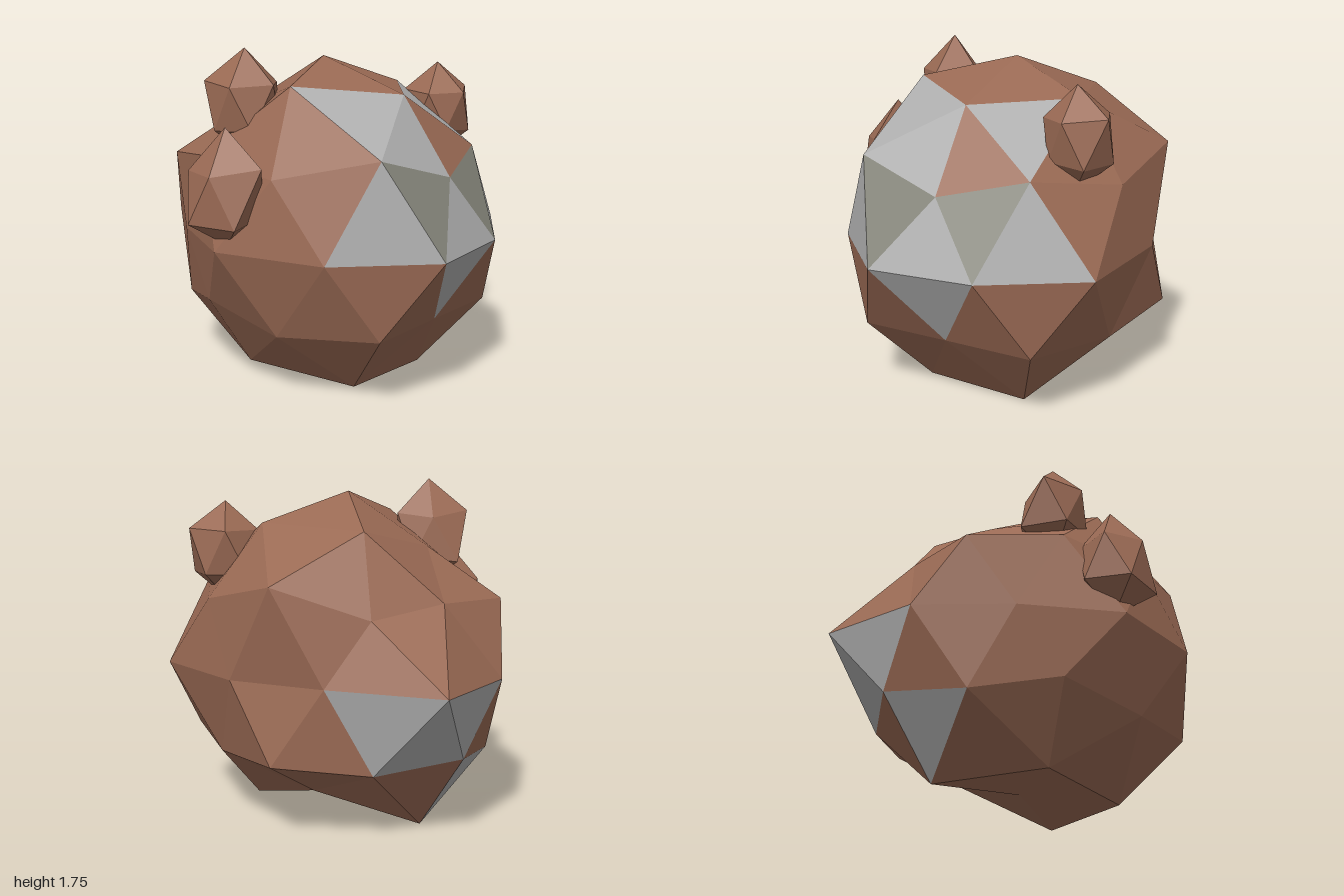
import * as THREE from 'three';

const brown = new THREE.MeshStandardMaterial({ name: 'brown stone', color: 0x9a6a54 });
const grey = new THREE.MeshStandardMaterial({ name: 'grey mineral', color: 0xaeaeae });
const olive = new THREE.MeshStandardMaterial({ name: 'olive grey mineral', color: 0x87877c });

// A ring of points on a lumpy sphere: height = sine of latitude, one radius per point
function addRing(points, letter, height, startDeg, radii, centre, scale) {
  const flat = Math.sqrt(1 - height * height);
  radii.forEach((r, i) => {
    const a = THREE.MathUtils.degToRad(startDeg + (360 / radii.length) * i);
    points[letter + i] = new THREE.Vector3(flat * Math.cos(a), height, flat * Math.sin(a))
      .multiplyScalar(r).multiply(scale).add(centre);
  });
}

// Flat-faced mesh from named corners; every face is turned to point away from the centre
function facetMesh(name, points, faces, centre, material) {
  const pos = [];
  for (const face of faces) {
    const [a, b, c] = face.map((key) => points[key]);
    const n = new THREE.Vector3().subVectors(b, a).cross(new THREE.Vector3().subVectors(c, a));
    const outward = n.dot(new THREE.Vector3().subVectors(a, centre)) > 0;
    for (const p of outward ? [a, b, c] : [a, c, b]) pos.push(p.x, p.y, p.z);
  }
  const geometry = new THREE.BufferGeometry();
  geometry.setAttribute('position', new THREE.Float32BufferAttribute(pos, 3));
  geometry.computeVertexNormals();
  const mesh = new THREE.Mesh(geometry, material);
  mesh.name = name;
  return mesh;
}

// Large boulder: a once-divided icosahedron with uneven radii and mineral patches
function boulder() {
  const centre = new THREE.Vector3(0.02, 0.79, -0.08);
  const scale = new THREE.Vector3(1.15, 1, 1);
  const p = {};
  const ring = (letter, h, start, radii) => addRing(p, letter, h, start, radii, centre, scale);
  ring('P', 1, 0, [0.91]);
  ring('A', 0.851, 0, [0.87, 0.935, 0.74, 0.855, 0.885]);
  ring('B', 0.447, 0, [0.79, 0.84, 0.83, 0.715, 0.84]);
  ring('C', 0.526, 36, [0.925, 0.82, 0.725, 0.915, 0.85]);
  ring('E', 0, 18, [0.9, 0.86, 0.84, 0.71, 0.8, 0.935, 0.715, 0.78, 0.915, 0.85]);
  ring('D', -0.526, 0, [0.76, 0.82, 0.805, 0.81, 0.82]);
  ring('F', -0.447, 36, [0.895, 0.76, 0.827, 0.88, 0.895]);
  ring('G', -0.851, 36, [0.9, 0.85, 0.915, 0.73, 0.92]);
  ring('Q', -1, 0, [0.73]);

  const faces = [];
  for (let k = 0; k < 5; k++) {
    const n = (k + 1) % 5, m = (k + 4) % 5;
    const A = 'A' + k, A1 = 'A' + n, B = 'B' + k, B1 = 'B' + n, C = 'C' + k;
    const D = 'D' + k, D1 = 'D' + n, F = 'F' + k, F0 = 'F' + m, G = 'G' + k, G0 = 'G' + m;
    const E0 = 'E' + ((2 * k + 9) % 10), E1 = 'E' + 2 * k, E2 = 'E' + (2 * k + 1);
    faces.push(
      ['P0', A, A1], [A, A1, C], [A, B, C], [A1, C, B1],
      [B, E0, E1], [C, B, E1], [C, E1, E2], [C, E2, B1],
      [D, E0, E1], [D, E1, F], [F, E1, E2], [D1, F, E2],
      [D, F, G], [D, F0, G0], [D, G0, G], ['Q0', G0, G]);
  }

  // Faces that carry each mineral colour
  const key = (face) => [...face].sort().join('');
  const greyKeys = ['A0A1C0', 'A0B0C0', 'A0A4C4', 'B0E0E9', 'C0E0E1', 'C4E8E9',
    'D0E0E9', 'E4E5F2', 'D2F2G2', 'D3E5E6', 'D3E5F2'];
  const oliveKeys = ['B0C0E0', 'B0C4E9'];
  const isGrey = (f) => greyKeys.includes(key(f));
  const isOlive = (f) => oliveKeys.includes(key(f));

  const group = new THREE.Group();
  group.name = 'boulder';
  group.add(
    facetMesh('boulderStone', p, faces.filter((f) => !isGrey(f) && !isOlive(f)), centre, brown),
    facetMesh('greyPatches', p, faces.filter(isGrey), centre, grey),
    facetMesh('olivePatches', p, faces.filter(isOlive), centre, olive));
  return group;
}

// Small stone stuck to the boulder: a tall uneven icosahedron
function pebble(name, position, top, upper, lower, bottom) {
  const centre = new THREE.Vector3(...position);
  const scale = new THREE.Vector3(1, 1.25, 1);
  const p = {};
  addRing(p, 'T', 1, 0, [top], centre, scale);
  addRing(p, 'U', 0.447, 0, upper, centre, scale);
  addRing(p, 'L', -0.447, 36, lower, centre, scale);
  addRing(p, 'S', -1, 0, [bottom], centre, scale);
  const faces = [];
  for (let k = 0; k < 5; k++) {
    const n = (k + 1) % 5;
    faces.push(['T0', 'U' + k, 'U' + n], ['U' + k, 'U' + n, 'L' + k],
      ['U' + n, 'L' + k, 'L' + n], ['S0', 'L' + k, 'L' + n]);
  }
  return facetMesh(name, p, faces, centre, brown);
}

export function createModel() {
  const model = new THREE.Group();
  model.name = 'rock';
  model.add(
    boulder(),
    pebble('upperFrontPebble', [-0.12, 1.46, 0.38], 0.24,
      [0.22, 0.2, 0.235, 0.17, 0.21], [0.2, 0.2, 0.25, 0.2, 0.2], 0.2),
    pebble('lowerFrontPebble', [0.02, 1.07, 0.67], 0.264,
      [0.268, 0.2, 0.207, 0.19, 0.14], [0.249, 0.235, 0.215, 0.18, 0.2], 0.21),
    pebble('backPebble', [0.4, 1.39, -0.6], 0.21,
      [0.19, 0.18, 0.2, 0.2, 0.22], [0.17, 0.17, 0.21, 0.2, 0.2], 0.2));
  return model;
}
